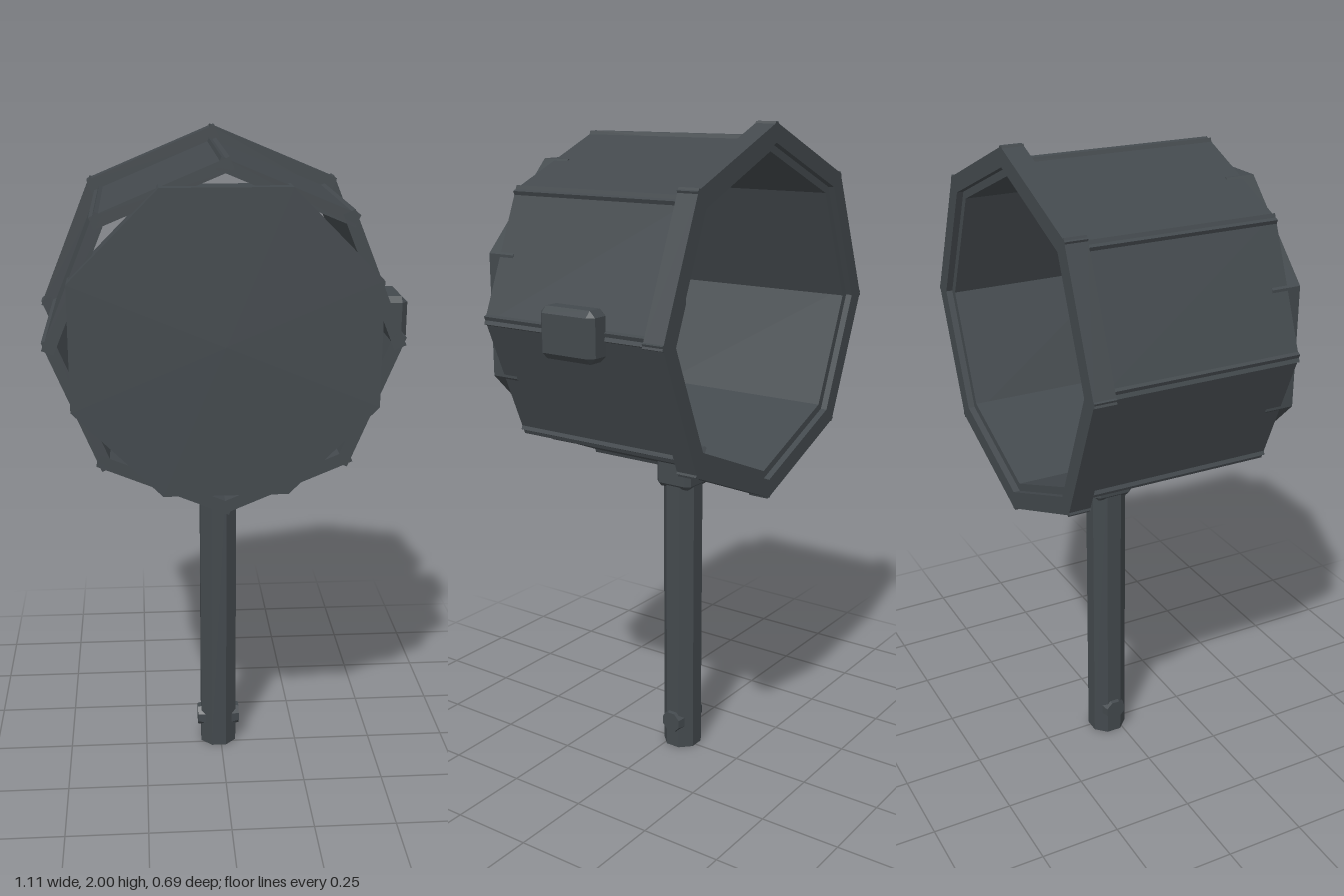
import * as THREE from 'three';
import { ConvexGeometry } from 'three/addons/geometries/ConvexGeometry.js';

const CX = -0.008, CY = 1.45, HZ = -0.033; // drum axis and handle depth

export function createModel() {
  const model = new THREE.Group();
  const darkMetal = new THREE.MeshStandardMaterial({ color: 0x43494d });

  const add = (name, geometry, x, y, z, parent = model) => {
    const mesh = new THREE.Mesh(geometry, darkMetal);
    mesh.name = name;
    mesh.position.set(x, y, z);
    parent.add(mesh);
    return mesh;
  };

  // Eight-sided prism with flat faces squared to the axes
  const octagonPrism = (rTop, rBottom, height) => {
    const g = new THREE.CylinderGeometry(rTop, rBottom, height, 8, 1, false, Math.PI / 8).toNonIndexed();
    g.computeVertexNormals();
    return g;
  };

  // Box with every edge cut by b
  const chamferBox = (w, h, d, b) => {
    const pts = [];
    for (const sx of [-1, 1]) for (const sy of [-1, 1]) for (const sz of [-1, 1]) {
      const x = w / 2, y = h / 2, z = d / 2;
      pts.push(
        new THREE.Vector3(sx * x, sy * (y - b), sz * (z - b)),
        new THREE.Vector3(sx * (x - b), sy * y, sz * (z - b)),
        new THREE.Vector3(sx * (x - b), sy * (y - b), sz * z));
    }
    return new ConvexGeometry(pts);
  };

  // Ring of eight planks whose ends overlap slightly at the corners
  const plankRing = (name, outer, inner, length, z0, z1) => {
    const ring = new THREE.Group();
    ring.name = name;
    ring.position.set(CX, CY, (z0 + z1) / 2);
    const plank = new THREE.BoxGeometry(outer - inner, length, z1 - z0);
    const r = (outer + inner) / 2;
    for (let i = 0; i < 8; i++) {
      const a = (i + 0.5) * Math.PI / 4;
      add(name + 'Plank', plank, r * Math.cos(a), r * Math.sin(a), 0, ring).rotation.z = a;
    }
    model.add(ring);
  };

  // Open drum and the raised rim at its back
  plankRing('drumWall', 0.466, 0.43, 0.41, -0.325, 0.305);
  plankRing('rim', 0.503, 0.452, 0.43, -0.345, -0.28);

  // Front plate, turned against the drum so small gaps stay at the corners
  const plate = octagonPrism(0.469, 0.469, 0.09);
  plate.rotateX(Math.PI / 2);
  add('frontPlate', plate, CX, CY, 0.3);

  // Side block
  add('sideBlock', chamferBox(0.08, 0.145, 0.187, 0.018), 0.515, 1.452, -0.034);

  // Handle with its collar and end studs
  const r = 0.057 / Math.cos(Math.PI / 8);
  add('handle', octagonPrism(r, r, 0.95), CX, 0.475, HZ);
  add('collar', chamferBox(0.126, 0.12, 0.126, 0.014), CX, 0.95, HZ);
  for (const s of [-1, 1]) {
    const stud = octagonPrism(0.034, 0.042, 0.03);
    stud.rotateZ(-s * Math.PI / 2);
    add(s > 0 ? 'leftStud' : 'rightStud', stud, CX + s * 0.053, 0.09, HZ);
  }

  return model;
}
